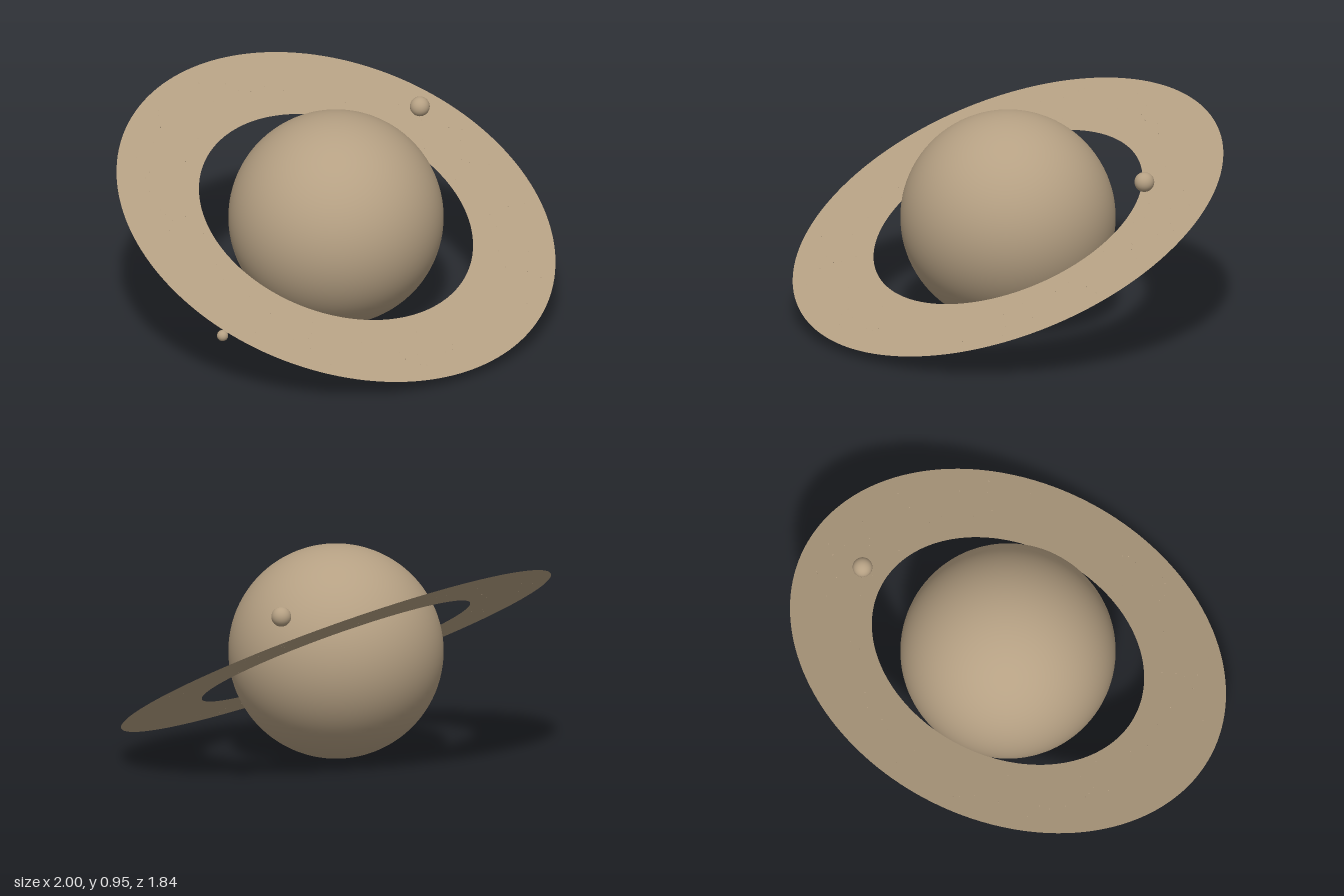
import * as THREE from 'three';
import { mergeGeometries } from 'three/addons/utils/BufferGeometryUtils.js';

const CENTER_Y = 0.477;

export function createModel() {
  const model = new THREE.Group();
  model.name = 'ringedPlanet';

  const sand = new THREE.MeshStandardMaterial({ color: 0xb5a083 });
  sand.name = 'sand';
  const ringSand = new THREE.MeshStandardMaterial({ color: 0xb5a083, side: THREE.DoubleSide });
  ringSand.name = 'ringSand';

  const addBall = (name, radius, x, y, z, segments) => {
    const ball = new THREE.Mesh(new THREE.SphereGeometry(radius, segments, segments / 2), sand);
    ball.name = name;
    ball.position.set(x, y, z);
    model.add(ball);
  };

  // Planet and its two moons
  addBall('planet', 0.476, 0, CENTER_Y, 0, 96);
  addBall('largeMoon', 0.044, 0.57, 0.745, -0.42, 32);
  addBall('smallMoon', 0.025, -0.73, 0.217, 0.467, 32);

  // Tilted ring system: low at the front and on the left
  const ringSystem = new THREE.Group();
  ringSystem.name = 'ringSystem';
  ringSystem.position.y = CENTER_Y;
  ringSystem.rotation.set(0.427, 0, -0.131);
  model.add(ringSystem);

  // Flat, paper-thin ring
  const disc = new THREE.RingGeometry(0.63, 1.009, 160, 1).rotateX(-Math.PI / 2);
  const ring = new THREE.Mesh(disc, ringSand);
  ring.name = 'ring';
  ringSystem.add(ring);

  // Tiny grains scattered over the upper face of the ring
  let seed = 7;
  const random = () => (seed = (seed * 16807) % 2147483647) / 2147483647;
  const grains = [];
  for (let i = 0; i < 70; i++) {
    const angle = random() * Math.PI * 2;
    const radius = 0.67 + random() * 0.28;
    const grain = new THREE.TetrahedronGeometry(0.003);
    grain.rotateY(random() * 6);
    grain.translate(Math.cos(angle) * radius, 0.001, Math.sin(angle) * radius);
    grains.push(grain);
  }
  const ringGrains = new THREE.Mesh(mergeGeometries(grains), sand);
  ringGrains.name = 'ringGrains';
  ringSystem.add(ringGrains);

  return model;
}
